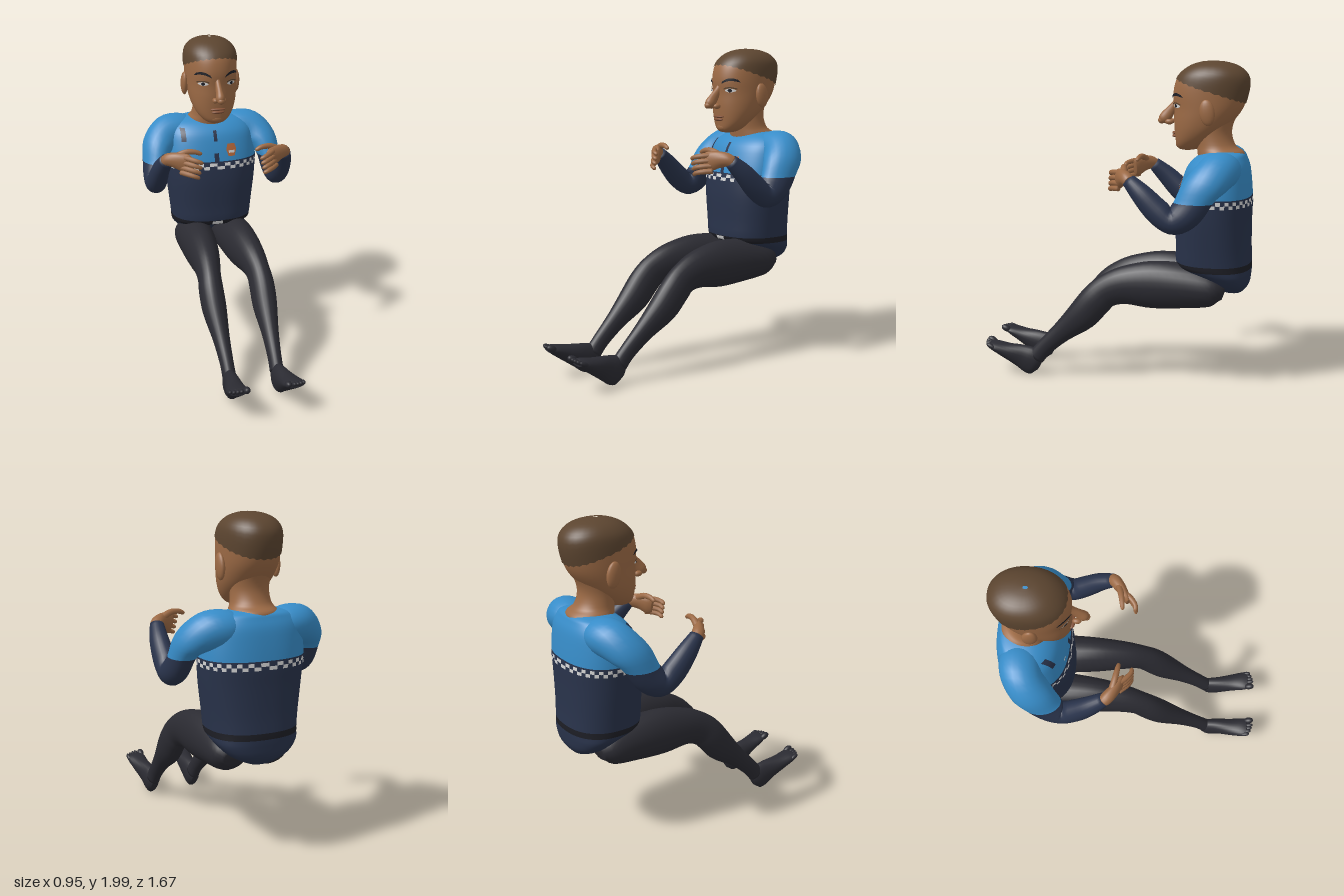
import * as THREE from 'three';
import { mergeGeometries, mergeVertices } from 'three/addons/utils/BufferGeometryUtils.js';

const mat = (name, color) => Object.assign(new THREE.MeshStandardMaterial({ color }), { name });
const M = {
  skin: mat('skin', 0x9c6a45), hair: mat('hair', 0x5c4530), blue: mat('shirt blue', 0x378cc8),
  navy: mat('navy', 0x29334b), trousers: mat('trousers', 0x2b2b32), black: mat('black', 0x1d1e25),
  white: mat('white', 0xd6d6d6), orange: mat('badge orange', 0xb8683a), lip: mat('lip', 0x855339),
};

// Smooth interpolation between the rows of a table
function rowAt(table, s) {
  const n = table.length - 1, i = Math.min(Math.floor(s), n - 1), t = s - i;
  const r = k => table[Math.max(0, Math.min(n, k))];
  return table[i].map((b, k) => {
    const a = r(i - 1)[k], c = r(i + 1)[k], d = r(i + 2)[k];
    return b + 0.5 * t * (c - a + t * (2 * a - 5 * b + 4 * c - d + t * (3 * (b - c) + d - a)));
  });
}

function rowOfY(table, y) {
  let lo = 0, hi = table.length - 1;
  for (let k = 0; k < 30; k++) {
    const m = (lo + hi) / 2;
    if (rowAt(table, m)[0] < y) lo = m; else hi = m;
  }
  return lo;
}

// Surface from a function of u and v, both 0 to 1
function grid(fn, nu, nv) {
  const pos = [], idx = [];
  for (let j = 0; j <= nv; j++) for (let i = 0; i <= nu; i++) pos.push(...fn(i / nu, j / nv));
  for (let j = 0; j < nv; j++) for (let i = 0; i < nu; i++) {
    const a = j * (nu + 1) + i, d = a + nu + 1;
    idx.push(a, a + 1, d + 1, a, d + 1, d);
  }
  let g = new THREE.BufferGeometry();
  g.setAttribute('position', new THREE.Float32BufferAttribute(pos, 3));
  g.setIndex(idx);
  g = mergeVertices(g, 1e-5);
  g.computeVertexNormals();
  return g;
}

// Point on an upright body: rows are [y, half width, front z, back z]
function bodyPoint(body, angle, s, off = 0) {
  const [y, rx, zf, zb] = rowAt(body.rows, s), e = 2 / body.power;
  const f = v => Math.sign(v) * Math.abs(v) ** e;
  return [(rx + off) * f(Math.sin(angle)), y, (zf + zb) / 2 + ((zf - zb) / 2 + off) * f(Math.cos(angle))];
}
const bodyBand = (body, s0, s1, nv) =>
  grid((u, v) => bodyPoint(body, u * Math.PI * 2, s0 + (s1 - s0) * v), 112, nv);

// Thin plate on the front of a body; width(v) narrows it, bend(u) lifts it
function plate(body, x0, x1, y0, y1, off = 0.004, width = () => 1, bend = () => 0) {
  return grid((u, v) => {
    const x = (x0 + x1) / 2 + (u - 0.5) * (x1 - x0) * width(v), s = rowOfY(body.rows, y0 + (y1 - y0) * v + bend(u));
    const q = Math.min(1, Math.abs(x) / rowAt(body.rows, s)[1]);
    return bodyPoint(body, Math.sign(x) * Math.asin(q ** (body.power / 2)), s, off);
  }, 10, 8);
}

// Tube through sections [x, y, z, radius u, radius v, (tangent x, y, z)]; groups end at the given sections
function loft(sections, u0, ends = [], sides = 24, sub = 4) {
  const n = (sections.length - 1) * sub, pos = [], idx = [];
  const rows = Array.from({ length: n + 1 }, (_, k) => rowAt(sections, k / sub));
  const P = k => new THREE.Vector3(...rows[Math.max(0, Math.min(n, k))]);
  const u = new THREE.Vector3(...u0), v = new THREE.Vector3(), p = new THREE.Vector3();
  rows.forEach((r, k) => {
    const t = (r.length > 5 ? new THREE.Vector3(r[5], r[6], r[7]) : P(k + 1).sub(P(k - 1))).normalize();
    u.addScaledVector(t, -u.dot(t)).normalize();
    v.crossVectors(t, u);
    for (let j = 0; j < sides; j++) {
      const a = j / sides * Math.PI * 2;
      p.copy(P(k)).addScaledVector(u, Math.cos(a) * r[3]).addScaledVector(v, Math.sin(a) * r[4]);
      pos.push(p.x, p.y, p.z);
    }
  });
  const c0 = pos.length / 3, c1 = c0 + 1;
  pos.push(...P(0).toArray(), ...P(n).toArray());
  for (let j = 0; j < sides; j++) idx.push(c0, (j + 1) % sides, j);
  const marks = [0];
  for (let k = 0; k < n; k++) {
    for (let j = 0; j < sides; j++) {
      const a = k * sides + j, b = k * sides + (j + 1) % sides;
      idx.push(a, b, b + sides, a, b + sides, a + sides);
    }
    if (ends.includes((k + 1) / sub)) marks.push(idx.length);
  }
  for (let j = 0; j < sides; j++) idx.push(c1, n * sides + j, n * sides + (j + 1) % sides);
  const g = new THREE.BufferGeometry();
  g.setAttribute('position', new THREE.Float32BufferAttribute(pos, 3));
  g.setIndex(idx);
  if (ends.length) marks.forEach((m, i) => g.addGroup(m, (marks[i + 1] ?? idx.length) - m, i));
  g.computeVertexNormals();
  return g;
}

const ball = (x, y, z, rx, ry, rz, tilt = 0) =>
  new THREE.SphereGeometry(1, 16, 12).scale(rx, ry, rz).rotateX(tilt).translate(x, y, z);

function mirrored(geo) {
  const g = geo.clone().scale(-1, 1, 1), a = g.index.array;
  for (let i = 0; i < a.length; i += 3) [a[i], a[i + 1]] = [a[i + 1], a[i]];
  return g;
}

export function createModel() {
  const model = new THREE.Group();
  model.name = 'seatedOfficer';
  const add = (name, geo, material) => {
    const m = new THREE.Mesh(geo, material);
    m.name = name;
    model.add(m);
  };
  const pair = (name, geo, material) => {
    add(name + 'Left', geo, material);
    add(name + 'Right', mirrored(geo), material);
  };

  // Torso: navy seat, belt, navy waist and blue chest
  const torso = { power: 2.4, rows: [
    [0.595, 0.01, -0.72, -0.74], [0.61, 0.08, -0.67, -0.785], [0.66, 0.18, -0.61, -0.825], [0.72, 0.24, -0.53, -0.835],
    [0.765, 0.262, -0.41, -0.838], [0.802, 0.266, -0.38, -0.838], [0.9, 0.277, -0.378, -0.832], [1.05, 0.295, -0.375, -0.83],
    [1.15, 0.304, -0.382, -0.832], [1.21, 0.308, -0.392, -0.83], [1.3, 0.3, -0.415, -0.822], [1.38, 0.285, -0.445, -0.81],
    [1.43, 0.25, -0.49, -0.79], [1.46, 0.19, -0.54, -0.77], [1.475, 0.1, -0.59, -0.71], [1.477, 0.01, -0.64, -0.66]] };
  add('seat', bodyBand(torso, 0, 4, 14), M.navy);
  add('belt', bodyBand(torso, 4, 5, 3), M.black);
  add('waist', bodyBand(torso, 5, 9, 14), M.navy);
  add('chest', bodyBand(torso, 9, 15, 20), M.blue);
  add('buckle', plate(torso, -0.035, 0.035, 0.775, 0.8), M.white);

  // Chequered band round the chest
  const cells = [], s = [1.16, 1.181, 1.202].map(y => rowOfY(torso.rows, y));
  for (let row = 0; row < 2; row++) for (let c = row; c < 56; c += 2)
    cells.push(grid((u, v) => bodyPoint(torso, (c + u) / 56 * Math.PI * 2, s[row] + (s[row + 1] - s[row]) * v, 0.004), 2, 1));
  add('chequeredBand', mergeGeometries(cells), M.white);

  // Painted shirt details
  add('zipTop', plate(torso, -0.011, 0.011, 1.34, 1.405), M.navy);
  add('zipBottom', plate(torso, -0.015, 0.015, 1.21, 1.265), M.navy);
  add('radioStrap', plate(torso, -0.215, -0.185, 1.34, 1.42), M.navy);
  add('pocketMark', plate(torso, -0.135, -0.105, 1.26, 1.27), M.white);
  add('badge', plate(torso, 0.065, 0.135, 1.24, 1.32, 0.004, v => 1 - 0.75 * Math.abs(v - 0.55)), M.orange);
  add('badgeBar', plate(torso, 0.08, 0.12, 1.262, 1.278, 0.007), M.white);

  // Neck, flared over the collar
  const neck = { power: 2, rows: [
    [1.43, 0.15, -0.5, -0.775], [1.465, 0.138, -0.495, -0.775], [1.5, 0.118, -0.49, -0.725],
    [1.57, 0.11, -0.48, -0.7], [1.64, 0.115, -0.48, -0.71], [1.72, 0.12, -0.48, -0.75]] };
  add('neck', bodyBand(neck, 0, 5, 16), M.skin);

  // Head and cropped hair
  const head = { power: 2.15, rows: [
    [1.467, 0.01, -0.42, -0.44], [1.475, 0.05, -0.385, -0.49], [1.495, 0.082, -0.368, -0.53], [1.535, 0.115, -0.362, -0.58],
    [1.59, 0.14, -0.356, -0.65], [1.65, 0.154, -0.352, -0.71], [1.72, 0.162, -0.352, -0.76], [1.8, 0.166, -0.345, -0.787],
    [1.88, 0.165, -0.36, -0.797], [1.93, 0.152, -0.392, -0.778], [1.97, 0.115, -0.445, -0.73], [1.993, 0.06, -0.51, -0.66],
    [2, 0.004, -0.57, -0.59]] };
  add('face', bodyBand(head, 0, rowOfY(head.rows, 1.92), 34), M.skin);
  add('hair', grid((u, v) => {
    const a = u * Math.PI * 2, s0 = rowOfY(head.rows, 1.825 + 0.07 * Math.cos(a) + 0.004 * Math.sin(a * 28));
    return bodyPoint(head, a, s0 + (12 - s0) * v, 0.005);
  }, 112, 14), M.hair);

  // Nose, lips and chin
  add('nose', mergeGeometries([
    loft([[0, 1.77, -0.365, 0.016, 0.014], [0, 1.735, -0.35, 0.019, 0.022], [0, 1.69, -0.318, 0.023, 0.032],
      [0, 1.655, -0.29, 0.029, 0.035], [0, 1.636, -0.278, 0.022, 0.024]], [1, 0, 0]),
    ...[ball(0, 1.643, -0.274, 0.023, 0.021, 0.023), ball(0.027, 1.637, -0.325, 0.017, 0.017, 0.026),
      ball(-0.027, 1.637, -0.325, 0.017, 0.017, 0.026)].map(g => g.deleteAttribute('uv'))]), M.skin);
  add('upperLip', ball(0, 1.571, -0.36, 0.05, 0.009, 0.02), M.lip);
  add('lowerLip', ball(0, 1.553, -0.36, 0.042, 0.011, 0.02), M.lip);
  add('chin', ball(0, 1.505, -0.385, 0.045, 0.027, 0.022), M.skin);

  // Eyes, brows and ears
  const almond = u => 0.008 * Math.sin(u * Math.PI);
  const lens = v => Math.max(0.05, Math.sin(Math.PI * v)) ** 0.6;
  pair('eye', plate(head, 0.06, 0.118, 1.724, 1.748, 0.003, lens), M.white);
  pair('iris', plate(head, 0.078, 0.1, 1.725, 1.747, 0.006, lens), M.black);
  pair('eyelid', plate(head, 0.055, 0.122, 1.742, 1.75, 0.007, undefined, almond), M.hair);
  pair('brow', plate(head, 0.04, 0.135, 1.776, 1.793, 0.006, v => 1 - 0.2 * v, u => 0.02 * Math.sin(u * 2.6)), M.black);
  pair('ear', ball(0.172, 1.705, -0.572, 0.023, 0.077, 0.045, 0.15), M.skin);

  // Sleeves: blue to just above the elbow, navy to the wrist
  pair('sleeve', loft([
    [0.1, 1.38, -0.66, 0.09, 0.07, 1, 0, 0], [0.18, 1.38, -0.66, 0.12, 0.1, 1, -0.05, 0],
    [0.27, 1.362, -0.645, 0.125, 0.118, 0.85, -0.5, 0.08], [0.35, 1.3, -0.59, 0.125, 0.1, 0.35, -0.9, 0.2],
    [0.385, 1.21, -0.53, 0.115, 0.078, 0, -1, 0], [0.4, 1.13, -0.475, 0.09, 0.073, 0, -0.8, 0.6],
    [0.405, 1.1, -0.405, 0.072, 0.068, 0, 0.1, 1], [0.405, 1.16, -0.325, 0.074, 0.063, 0, 0.7, 0.7],
    [0.398, 1.25, -0.235, 0.062, 0.054, -0.1, 0.7, 0.7], [0.378, 1.325, -0.155, 0.042, 0.042, -0.25, 0.68, 0.68]],
  [0, 0, 1], [4]), [M.blue, M.navy]);

  // Hands with curled fingers and a raised thumb
  pair('palm', loft([
    [0.388, 1.318, -0.16, 0.036, 0.036], [0.365, 1.333, -0.135, 0.042, 0.038], [0.32, 1.332, -0.1, 0.052, 0.032],
    [0.27, 1.318, -0.07, 0.06, 0.025], [0.245, 1.312, -0.055, 0.045, 0.015]], [0, 1, 0], [], 16), M.skin);
  pair('thumb', loft([
    [0.33, 1.355, -0.115, 0.022, 0.022], [0.27, 1.382, -0.1, 0.019, 0.019], [0.215, 1.383, -0.09, 0.016, 0.016],
    [0.18, 1.37, -0.085, 0.012, 0.012], [0.172, 1.365, -0.084, 0.004, 0.004]], [0, 1, 0], [], 10), M.skin);
  for (let k = 0; k < 4; k++) {
    const y = 1.357 - 0.031 * k, x = 0.007 * k;
    pair('finger' + (k + 1), loft([
      [0.285 + x, y, -0.075, 0.016, 0.016], [0.25 + x, y - 0.004, -0.035, 0.016, 0.016], [0.215 + x, y - 0.012, -0.01, 0.014, 0.014],
      [0.19 + x, y - 0.022, -0.008, 0.012, 0.012], [0.182 + x, y - 0.026, -0.012, 0.004, 0.004]], [0, 1, 0], [], 10), M.skin);
  }

  // Legs, feet and toes
  pair('leg', loft([
    [0.13, 0.63, -0.69, 0.07, 0.05], [0.13, 0.645, -0.62, 0.118, 0.11], [0.132, 0.653, -0.45, 0.122, 0.138],
    [0.14, 0.65, -0.25, 0.107, 0.147], [0.15, 0.638, -0.08, 0.088, 0.12], [0.16, 0.595, 0.035, 0.074, 0.102],
    [0.165, 0.53, 0.105, 0.077, 0.102], [0.163, 0.43, 0.19, 0.075, 0.097], [0.157, 0.31, 0.325, 0.053, 0.066],
    [0.152, 0.2, 0.44, 0.042, 0.054], [0.15, 0.13, 0.5, 0.042, 0.055]], [1, 0, 0]), M.trousers);
  pair('foot', loft([
    [0.152, 0.075, 0.475, 0.02, 0.035], [0.152, 0.088, 0.5, 0.04, 0.08], [0.153, 0.105, 0.54, 0.047, 0.09],
    [0.155, 0.13, 0.6, 0.05, 0.076], [0.165, 0.162, 0.69, 0.058, 0.05], [0.17, 0.19, 0.76, 0.064, 0.032],
    [0.17, 0.202, 0.795, 0.058, 0.02]], [1, 0, 0]), M.trousers);
  for (let k = 0; k < 5; k++) {
    const r = k ? 0.0145 : 0.021;
    pair('toe' + (k + 1), ball(k ? 0.138 + 0.021 * k : 0.125, 0.212 - 0.003 * k, 0.8 - 0.003 * k * k / 2, r, r, 0.034, -0.45), M.trousers);
  }
  return model;
}
